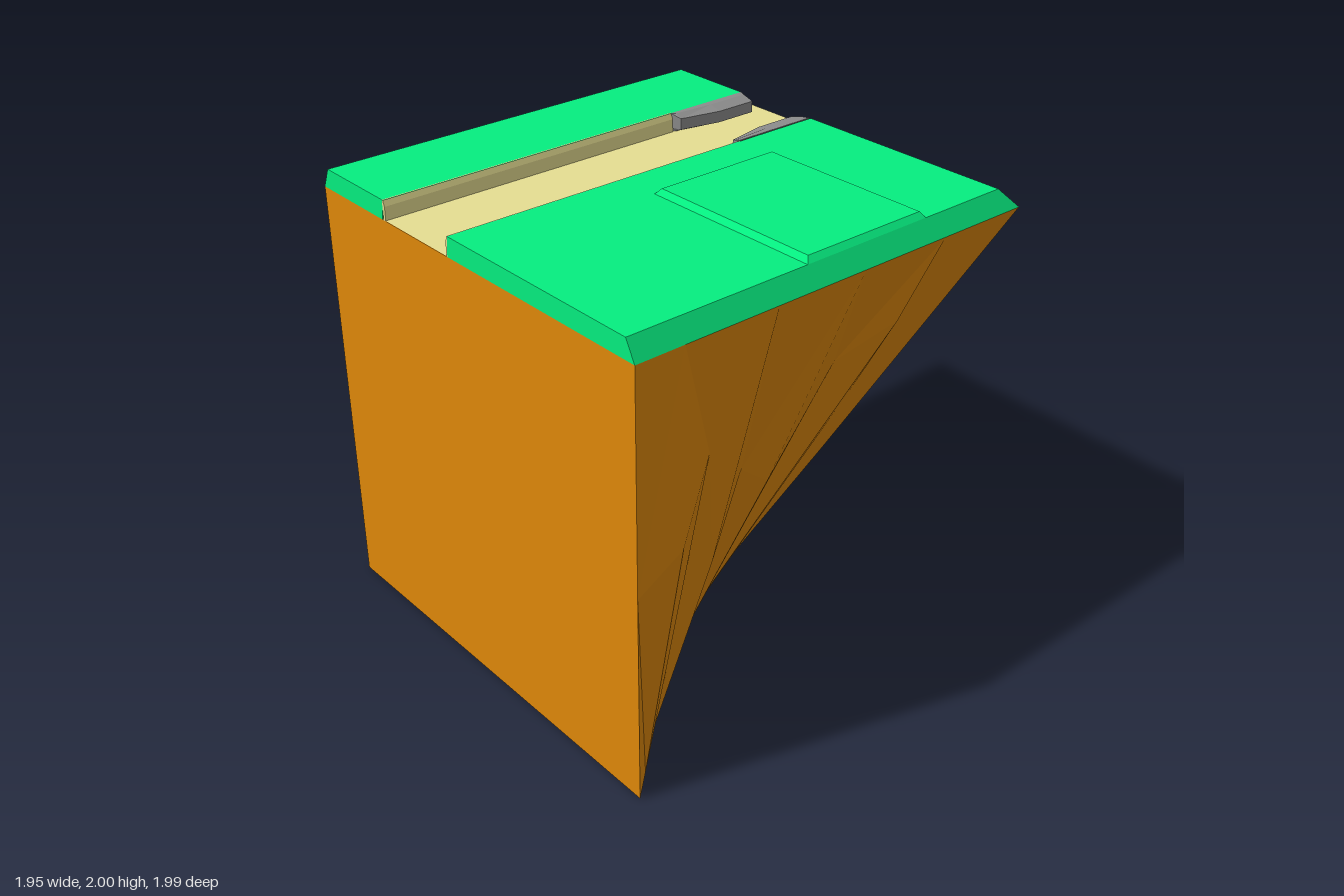
import * as THREE from 'three';

const mat = (color) => new THREE.MeshStandardMaterial({ color, flatShading: true, side: THREE.DoubleSide });
const GREEN = mat(0x05ee80), ROCK = mat(0xde880a), TAN = mat(0xe6de92), STONE = mat(0x8c8c8c);
const TOP = 1.89, DECK = 1.975;
const HALF = 0.975, FRONT = 0.965, BACK = -0.987; // outline of the cliff top

// Faceted loft through closed rings of [x, y, z], counter-clockwise from above, bottom ring first
function loft(rings) {
  const pos = [];
  const tri = (a, b, c) => pos.push(...a, ...b, ...c);
  const n = rings[0].length;
  for (let r = 0; r < rings.length - 1; r++) {
    const lo = rings[r], hi = rings[r + 1];
    for (let i = 0; i < n; i++) {
      const j = (i + 1) % n;
      if ((i + r) % 2) {
        tri(lo[i], lo[j], hi[j]);
        tri(lo[i], hi[j], hi[i]);
      } else {
        tri(lo[i], lo[j], hi[i]);
        tri(lo[j], hi[j], hi[i]);
      }
    }
  }
  const first = rings[0], last = rings[rings.length - 1];
  for (let i = 1; i < n - 1; i++) {
    tri(first[0], first[i + 1], first[i]);
    tri(last[0], last[i], last[i + 1]);
  }
  const g = new THREE.BufferGeometry();
  g.setAttribute('position', new THREE.Float32BufferAttribute(pos, 3));
  g.computeVertexNormals();
  return g;
}

const rect = (x0, x1, z0, z1, y) => [[x0, y, z1], [x1, y, z1], [x1, y, z0], [x0, y, z0]];

// Cliff: a rectangular top tapering to a triangular foot, with a jagged middle ring
function cliffGeometry() {
  // Each fold: z at the foot, height fraction of its middle point, outward push there
  const folds = [
    [FRONT, 0.5, 0], [0.87, 0.58, 0.073], [0.78, 0.73, 0.005], [0.68, 0.43, 0.035], [0.5, 0.57, -0.035],
    [0.42, 0.51, 0.03], [0.36, 0.75, -0.03], [0.32, 0.82, 0.03], [0.28, 0.6, -0.02], [0.24, 0.45, 0.02],
    [0.2, 0.6, -0.02], [0.17, 0.5, 0.03], [0.13, 0.68, -0.02], [0.08, 0.49, 0.03], [0.03, 0.45, 0.035],
    [0, 0.62, -0.02], [-0.04, 0.5, 0.03], [-0.1, 0.77, -0.02], [-0.18, 0.64, 0.015],
    [-0.3, 0.5, -0.02], [-0.42, 0.6, 0.03], [-0.5, 0.45, -0.025], [-0.58, 0.62, 0.03], [-0.7, 0.5, -0.025],
    [-0.8, 0.62, 0.02], [-0.85, 0.45, -0.02], [-0.9, 0.4, 0.06], [BACK, 0.5, 0],
  ];
  const foot = [], middle = [], rim = [];
  folds.forEach(([z, k, push], i) => {
    const b = [0.105 - (HALF + 0.105) * Math.abs(z) / (z > 0 ? FRONT : -BACK), 0, z];
    const side = Math.floor(i / 9), s = (i % 9) / 9;
    let t, out;
    if (side === 0) {
      t = [-HALF + 2 * HALF * s, TOP, FRONT];
      out = [0.2, 1];
    } else if (side === 1) {
      t = [HALF, TOP, FRONT + (BACK - FRONT) * s];
      out = [0.9, 0];
    } else {
      t = [side === 3 ? -HALF : HALF - 2 * HALF * s, TOP, BACK];
      out = [0.2, -1];
    }
    const m = b.map((v, a) => v + (t[a] - v) * k);
    m[0] += out[0] * push;
    m[2] += out[1] * push;
    foot.push(b);
    middle.push(m);
    rim.push(t);
  });
  return loft([foot, middle, rim]);
}

// Edge stone lying along the road; dir is the way it sticks out in z
function stoneGeometry(z, dir) {
  const ring = (y, depth) => {
    const pts = [[0.475, 0], [0.49, 0.05 * depth], [0.68, 0.09 * depth], [0.875, 0.09 * depth], [0.89, 0]]
      .map(([x, d]) => [x, y, z + dir * d]);
    return dir > 0 ? pts : pts.reverse();
  };
  return loft([ring(1.895, 0.35), ring(1.91, 1), ring(1.96, 1), ring(1.975, 0.35)]);
}

// Road kerb with a small chamfer, running along x
function kerbGeometry() {
  const s = new THREE.Shape([[0, 0], [0.015, 0], [0.015, 0.06], [0.006, 0.085], [0, 0.085]]
    .map(([x, y]) => new THREE.Vector2(x, y)));
  const g = new THREE.ExtrudeGeometry(s, { depth: 0.48 + HALF, bevelEnabled: false });
  g.rotateY(-Math.PI / 2); // section x becomes z, depth runs toward -x
  return g;
}

export function createModel() {
  const model = new THREE.Group();
  const add = (name, geometry, material) => {
    const mesh = new THREE.Mesh(geometry, material);
    mesh.name = name;
    model.add(mesh);
    return mesh;
  };

  add('cliff', cliffGeometry(), ROCK);

  // Road surface across the top
  const road = add('road', new THREE.PlaneGeometry(2 * HALF, 0.46).rotateX(-Math.PI / 2), TAN);
  road.position.set(0, TOP + 0.002, -0.325);

  // Grass slabs with sloped outer edges
  add('frontGrass', loft([
    rect(-HALF, HALF, -0.11, FRONT, TOP),
    rect(-HALF, 0.89, -0.102, 0.92, DECK),
  ]), GREEN);
  add('backGrass', loft([
    rect(-HALF, HALF, BACK, -0.555, TOP),
    rect(-HALF, 0.89, -0.948, -0.538, DECK),
  ]), GREEN);

  // Raised grass panel
  add('raisedGrass', loft([
    rect(-0.15, 0.47, 0.09, 0.92, DECK),
    rect(-0.13, 0.455, 0.11, 0.9, 1.998),
  ]), GREEN);

  // Kerbs on both sides of the road
  const backKerb = add('backKerb', kerbGeometry(), TAN);
  backKerb.position.set(0.48, TOP, -0.545);
  const frontKerb = add('frontKerb', kerbGeometry(), TAN);
  frontKerb.rotation.y = Math.PI;
  frontKerb.position.set(-HALF, TOP, -0.1);

  // Stones at the road's end
  add('backStone', stoneGeometry(-0.54, 1), STONE);
  add('frontStone', stoneGeometry(-0.11, -1), STONE);

  return model;
}
